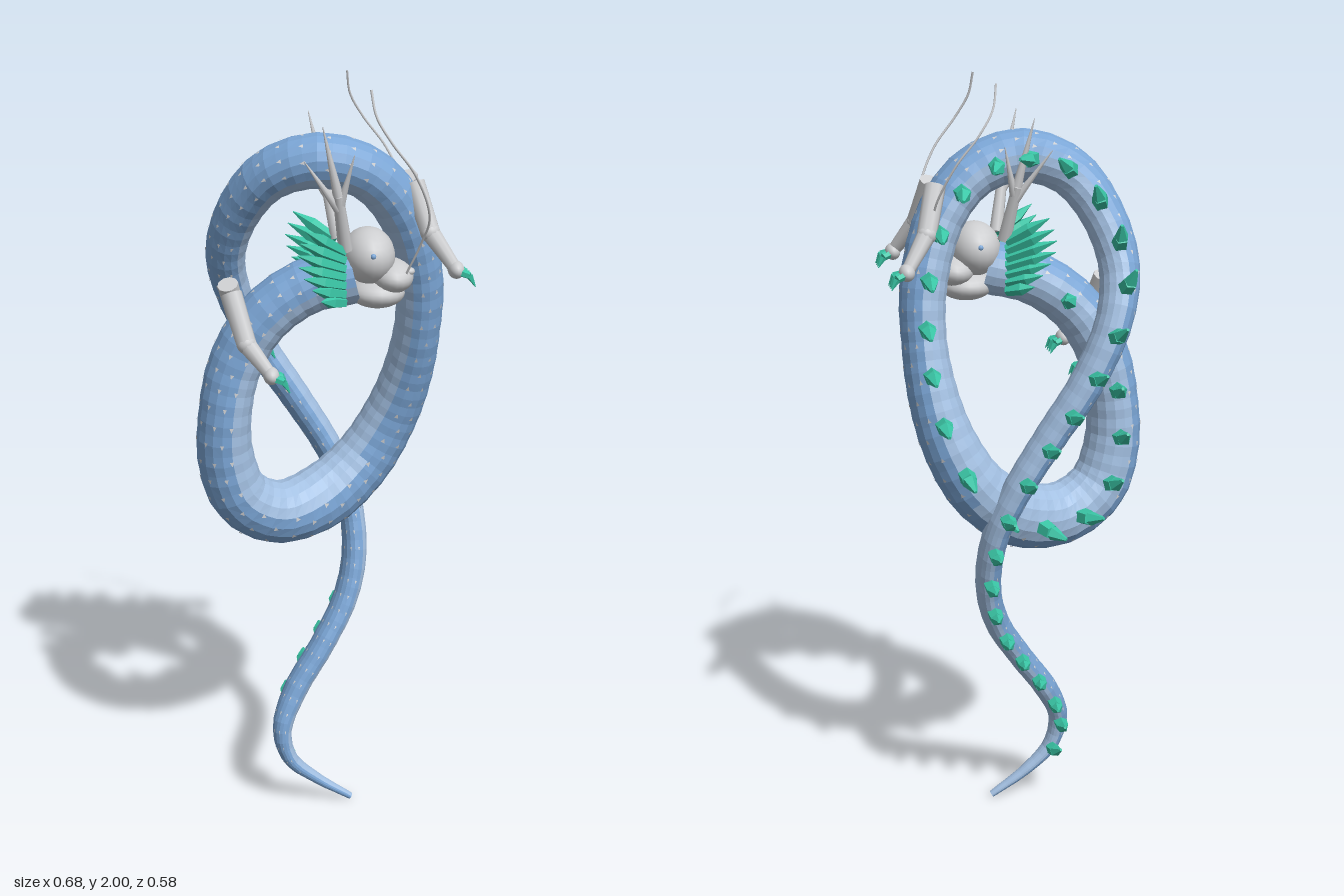
import * as THREE from 'three';
import { mergeGeometries } from 'three/addons/utils/BufferGeometryUtils.js';

const mat = (name, color) => {
  const m = new THREE.MeshStandardMaterial({ color });
  m.name = name;
  return m;
};
const V = (x, y, z) => new THREE.Vector3(x, y, z);
const UP = V(0, 1, 0);

// Centre line of the coiled body, from neck to tail tip
const path = new THREE.CatmullRomCurve3([
  [0.06, 1.52, 0.09], [-0.06, 1.49, 0.07], [-0.17, 1.41, 0.06], [-0.24, 1.29, 0.05], [-0.268, 1.16, 0.05],
  [-0.268, 1.04, 0.045], [-0.228, 0.925, 0.035], [-0.13, 0.865, 0.01], [0, 0.885, -0.04], [0.11, 0.967, -0.075],
  [0.18, 1.08, -0.075], [0.22, 1.2, -0.05], [0.24, 1.35, -0.01], [0.235, 1.5, 0.02], [0.18, 1.67, 0.055],
  [0.09, 1.77, 0.075], [-0.03, 1.805, 0.078], [-0.14, 1.77, 0.04], [-0.21, 1.68, -0.02], [-0.245, 1.55, -0.09],
  [-0.22, 1.42, -0.15], [-0.15, 1.27, -0.165], [-0.06, 1.13, -0.157], [0.03, 0.98, -0.147], [0.08, 0.85, -0.12],
  [0.09, 0.7, -0.075], [0.06, 0.58, -0.04], [-0.01, 0.46, 0], [-0.09, 0.34, 0.03], [-0.13, 0.24, 0.06],
  [-0.11, 0.15, 0.065], [-0.04, 0.08, 0.06], [0.06, 0.01, 0.06]
].map(p => V(...p)));
path.arcLengthDivisions = 800;

// Half width and half height of the body, evenly spread along the path
const WIDTH = [0.07, 0.068, 0.088, 0.058, 0.068, 0.046, 0.034, 0.032, 0.009];
const HEIGHT = [0.065, 0.085, 0.085, 0.08, 0.075, 0.058, 0.05, 0.042, 0.011];
const sample = (list, t) => {
  const f = t * (list.length - 1), i = Math.min(Math.floor(f), list.length - 2);
  return THREE.MathUtils.lerp(list[i], list[i + 1], f - i);
};

// Point, tangent, outer side and back direction of the body at a length fraction
function frame(u) {
  const t = path.getUtoTmapping(u);
  const T = path.getTangent(t);
  const N = T.clone().cross(V(0, 0, 1)).normalize();
  const D = T.clone().cross(N);
  return { p: path.getPoint(t), T, N, D, a: sample(WIDTH, t), b: sample(HEIGHT, t) };
}
const onSkin = (f, ang, k = 1) => f.p.clone()
  .addScaledVector(f.N, f.a * k * Math.cos(ang))
  .addScaledVector(f.D, f.b * k * Math.sin(ang));

// Body skin with a strong colour outside and a pale one inside the coils
function bodyGeometry() {
  const steps = 170, sides = 18, pos = [], outer = [], inner = [];
  for (let i = 0; i <= steps; i++) {
    const f = frame(i / steps);
    for (let j = 0; j < sides; j++) pos.push(...onSkin(f, j / sides * Math.PI * 2, i % 2 ? 1.012 : 0.992).toArray());
  }
  for (let i = 0; i < steps; i++) for (let j = 0; j < sides; j++) {
    const k = (j + 1) % sides, a = i * sides + j, b = i * sides + k;
    const mid = (j + 0.5) / sides * Math.PI * 2;
    const limit = i < steps * 0.27 ? 0.3 : -0.17;
    (Math.cos(mid + 0.35) > limit ? outer : inner).push(a, b, a + sides, b, b + sides, a + sides);
  }
  const end = steps * sides;
  for (let j = 1; j < sides - 1; j++) inner.push(end, end + j, end + j + 1);
  const g = new THREE.BufferGeometry();
  g.setAttribute('position', new THREE.Float32BufferAttribute(pos, 3));
  g.setIndex([...outer, ...inner]);
  g.addGroup(0, outer.length, 0);
  g.addGroup(outer.length, inner.length, 1);
  return faceted(g);
}

// Tapered rod between two points
function rod(p, q, r0, r1, sides = 10) {
  const d = q.clone().sub(p);
  const g = new THREE.CylinderGeometry(r1, r0, d.length(), sides);
  g.applyQuaternion(new THREE.Quaternion().setFromUnitVectors(UP, d.normalize()));
  const c = p.clone().add(q).multiplyScalar(0.5);
  return g.translate(c.x, c.y, c.z);
}
function faceted(g) {
  const f = g.toNonIndexed();
  f.computeVertexNormals();
  return f;
}
const ball = (x, y, z, rx, ry, rz) => new THREE.SphereGeometry(1, 20, 14).scale(rx, ry, rz).translate(x, y, z);

export function createModel() {
  const blue = mat('scale blue', 0x7ba6d6), pale = mat('pale blue', 0xa3c0e2);
  const grey = mat('bone grey', 0xcdced0), teal = mat('fin teal', 0x3ac6a6);
  const model = new THREE.Group();
  const add = (name, geo, m, parent = model) => {
    const mesh = new THREE.Mesh(geo, m);
    mesh.name = name;
    parent.add(mesh);
  };

  add('body', bodyGeometry(), [blue, pale]);

  // Row of blunt fins along the back, closer together towards the tail
  const fins = [], FINS = 36;
  for (let i = 0; i < FINS; i++) {
    const t = i / (FINS - 1);
    const f = frame(0.05 + 0.9 * (t + 0.2 * t * (1 - t)));
    const h = 0.05 + 0.27 * f.b, r = 0.017 + 0.08 * f.b;
    const base = f.p.clone().addScaledVector(f.D, f.b * 0.9);
    const mid = base.clone().addScaledVector(f.D, h * 0.55).addScaledVector(f.T, -0.006);
    const tip = base.clone().addScaledVector(f.D, h * 1.1).addScaledVector(f.T, -0.026);
    fins.push(faceted(rod(base, mid, r, r * 0.85, 5)), faceted(rod(mid, tip, r * 0.85, r * 0.2, 5)));
  }
  add('backFins', mergeGeometries(fins), teal);

  // Small pale scale tips lying on the outer side
  const tips = [];
  for (let i = 2; i < 94; i++) {
    const f = frame(i / 97);
    for (let j = 0; j < 5; j++) {
      const ang = -1.7 + j * 0.62 + (i % 2) * 0.31;
      const end = onSkin(f, ang, 1.035).addScaledVector(f.T, 0.05 * f.b + 0.008);
      tips.push(...onSkin(f, ang - 0.075, 1.025).toArray(), ...onSkin(f, ang + 0.075, 1.025).toArray(), ...end.toArray());
    }
  }
  const tipGeo = new THREE.BufferGeometry();
  tipGeo.setAttribute('position', new THREE.Float32BufferAttribute(tips, 3));
  tipGeo.computeVertexNormals();
  add('scaleTips', tipGeo, grey);

  // Head, looking towards +x
  const head = new THREE.Group();
  head.name = 'head';
  model.add(head);
  add('skull', ball(0.092, 1.57, 0.09, 0.066, 0.07, 0.088), grey, head);
  add('snout', ball(0.15, 1.517, 0.09, 0.055, 0.042, 0.085), grey, head);
  add('lowerJaw', ball(0.115, 1.475, 0.09, 0.07, 0.038, 0.072), grey, head);

  // Paired head parts, mirrored across the middle of the head
  for (const s of [1, -1]) {
    const P = (x, y, d) => V(x, y, 0.09 + s * d);
    const side = s > 0 ? 'front' : 'back';
    add(side + 'Eye', ball(0.09, 1.585, 0.09 + s * 0.083, 0.007, 0.007, 0.006), blue, head);
    add(side + 'Nostril', ball(0.188, 1.535, 0.09 + s * 0.04, 0.014, 0.01, 0.014), grey, head);
    // Antler with a main beam and two side points
    add(side + 'Horn', mergeGeometries([
      rod(P(0.025, 1.6, 0.06), P(0, 1.74, 0.1), 0.018, 0.013, 8),
      rod(P(0, 1.74, 0.1), P(-0.04, 1.908, 0.12), 0.013, 0.001, 8),
      rod(P(0.006, 1.7, 0.09), P(-0.085, 1.83, 0.125), 0.012, 0.001, 8),
      rod(P(0.005, 1.71, 0.093), P(0.035, 1.84, 0.125), 0.012, 0.001, 8)
    ]), grey, head);
    const whisker = new THREE.CatmullRomCurve3([
      P(0.175, 1.53, 0.06), P(0.205, 1.62, 0.1), P(0.215, 1.69, 0.14), P(0.17, 1.8, 0.185),
      P(0.11, 1.88, 0.195), P(0.075, 1.94, 0.185), P(0.065, 1.998, 0.17)
    ]);
    add(side + 'Whisker', new THREE.TubeGeometry(whisker, 40, 0.003, 6), grey, head);
    // Overlapping blades behind the cheek
    const frill = [];
    for (let i = 0; i < 7; i++) {
      const root = P(0.02, 1.595 - i * 0.021, 0.065);
      const end = P(-0.08 - 0.03 * Math.sin(i * 0.6) + i * 0.004, 1.66 - i * 0.029, 0.115);
      const mid = root.clone().lerp(end, 0.55);
      frill.push(faceted(rod(root, mid, 0.014, 0.017, 5)), faceted(rod(mid, end, 0.017, 0.001, 5)));
    }
    add(side + 'CheekFrill', mergeGeometries(frill), teal, head);
  }

  // Four legs: hip, knee and ankle given as x, y and distance from the body middle
  const legs = {
    foreLeg: [[-0.25, 1.485, 0.045], [-0.22, 1.37, 0.1], [-0.165, 1.3, 0.145]],
    hindLeg: [[0.205, 1.745, 0.045], [0.235, 1.635, 0.1], [0.292, 1.55, 0.145]]
  };
  for (const [name, joints] of Object.entries(legs)) for (const s of [1, -1]) {
    const [hip, knee, ankle] = joints.map(([x, y, d]) => V(x, y, 0.045 + s * d));
    const leg = new THREE.Group();
    leg.name = (s > 0 ? 'front' : 'back') + name[0].toUpperCase() + name.slice(1);
    model.add(leg);
    add('limb', mergeGeometries([
      rod(hip, knee, 0.027, 0.025), rod(knee, ankle, 0.024, 0.016),
      ball(...knee.toArray(), 0.025, 0.025, 0.025), ball(...ankle.toArray(), 0.02, 0.022, 0.03)
    ]), grey, leg);
    const claws = [];
    for (let i = 0; i < 4; i++) {
      const spread = (i - 1.5) * 0.016;
      const root = ankle.clone().add(V(0.008, -0.004, spread * 0.7));
      const bend = root.clone().add(V(0.02, -0.006, spread * 0.5));
      const tip = bend.clone().add(V(0.014, -0.026, spread * 0.2));
      claws.push(faceted(rod(root, bend, 0.01, 0.009, 5)), faceted(rod(bend, tip, 0.009, 0.001, 5)));
    }
    add('claws', mergeGeometries(claws), teal, leg);
  }
  return model;
}
